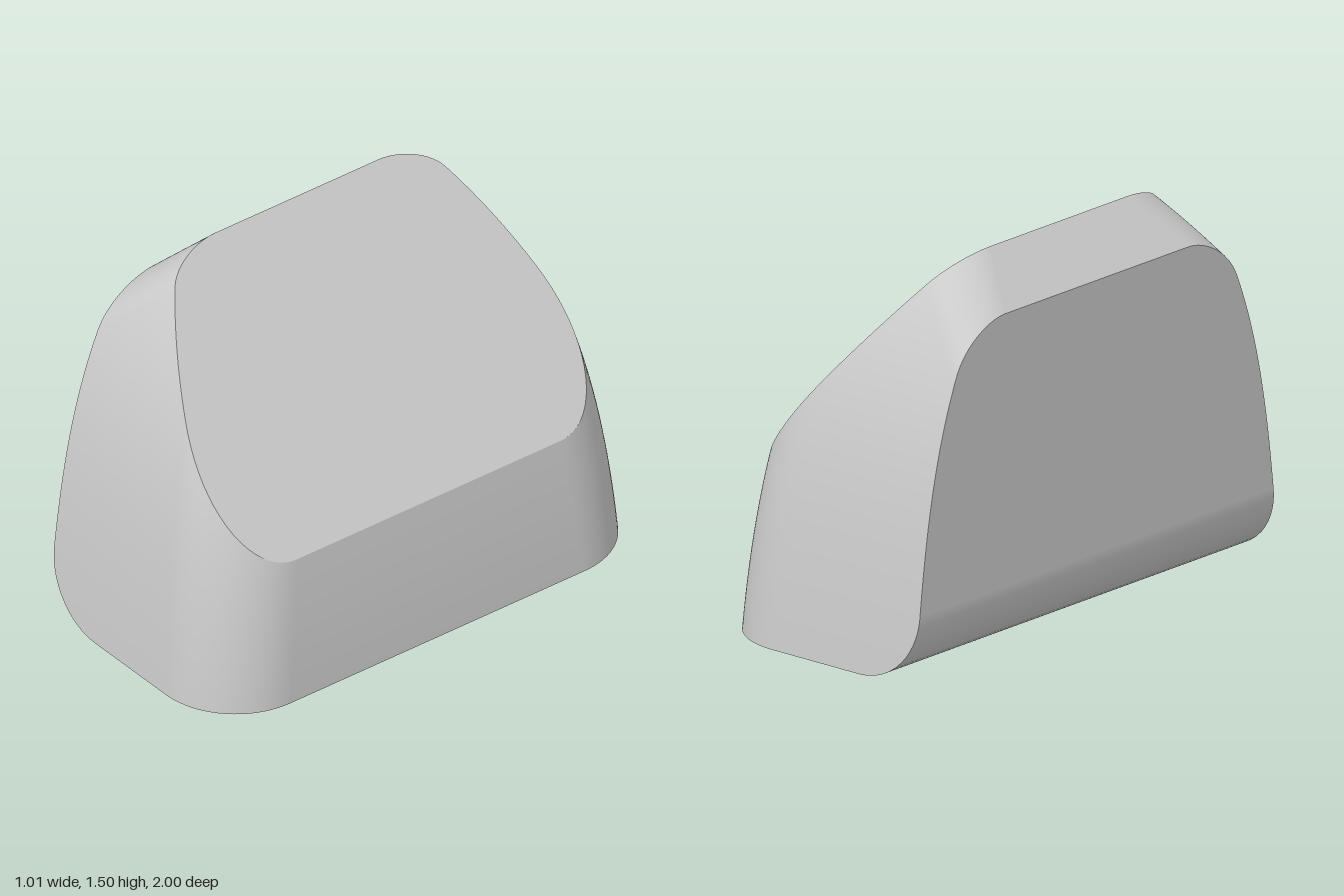
import * as THREE from 'three';

const BACK = -0.505, FRONT = 0.505, TOP = 1.5;
const EDGE_R = 0.27;      // rounding of the lower back edge
const CORNER_R = 0.32;    // rounding of the two upright front corners
const SHOULDER = { width: 0.18, depth: 0.17 }; // rounding beside the chamfer
const SLOPE_Y = 0.58, CHAMFER_Y = 1.315;

// Quarter-ellipse inset: 1 at t = 0, easing to 0 at t = 1
const round = (t) => (t >= 1 ? 0 : 1 - Math.sqrt(Math.max(0, 1 - (1 - t) ** 2)));

// Curved lower wall and the slanted face above it
const wallX = (y) => FRONT - 0.04 * y - 0.078 * y * y;
const wallTopX = wallX(SLOPE_Y);
const rightX = (y) => (y <= SLOPE_Y ? wallX(y)
  : THREE.MathUtils.mapLinear(y, SLOPE_Y, TOP, wallTopX, BACK + TOP - CHAMFER_Y));

// Rounded lower edge, upright back and top chamfer
function leftX(y) {
  if (y < EDGE_R) return BACK + EDGE_R * round(y / EDGE_R);
  return BACK + Math.max(0, y - CHAMFER_Y);
}

// Half thickness of the body along z at a point of its side outline
function halfWidth(x, y) {
  const flank = 1 - 0.08 * y - 0.05 * y ** 2 - 0.042 * y ** 4;
  const belowChamfer = Math.max(0, CHAMFER_Y + x - BACK - y);
  return flank
    - CORNER_R * round(Math.max(0, wallX(y) - x) / CORNER_R)
    - SHOULDER.width * round(belowChamfer / SHOULDER.depth);
}

// Values from a to b, packed closer near both ends
const spread = (a, b, n) => Array.from({ length: n + 1 },
  (_, i) => a + (b - a) * (1 - Math.cos((Math.PI * i) / n)) / 2);

// Smooth skin over rows of points
function skin(name, rows, material) {
  const n = rows[0].length, index = [];
  for (let j = 0; j < rows.length - 1; j++) {
    for (let i = 0; i < n - 1; i++) {
      const a = j * n + i, b = a + 1, c = b + n, d = a + n;
      index.push(a, b, c, a, c, d);
    }
  }
  const geometry = new THREE.BufferGeometry();
  geometry.setAttribute('position', new THREE.Float32BufferAttribute(rows.flat(2), 3));
  geometry.setIndex(index);
  geometry.computeVertexNormals();
  const mesh = new THREE.Mesh(geometry, material);
  mesh.name = name;
  return mesh;
}

export function createModel() {
  const group = new THREE.Group();
  group.name = 'slantedBlock';
  const material = new THREE.MeshStandardMaterial({ color: 0xcccccc });
  const add = (name, rows) => group.add(skin(name, rows, material));

  // Heights, with a row on every crease
  const edge = spread(0, EDGE_R, 16);
  const wall = spread(EDGE_R, SLOPE_Y, 8);
  const slope = [...spread(SLOPE_Y, CHAMFER_Y, 32), ...spread(CHAMFER_Y, TOP, 20).slice(1)];
  const heights = [...edge, ...wall.slice(1), ...slope.slice(1)];

  // Two mirrored flanks
  const flank = (sign) => heights.map((y) => {
    const row = spread(leftX(y), rightX(y), 64).map((x) => [x, y, sign * halfWidth(x, y)]);
    return sign > 0 ? row : row.reverse();
  });
  add('frontFlank', flank(1));
  add('rearFlank', flank(-1));

  // Bands running across the body between the flanks
  const band = (ys, edgeX, sign) => ys.map((y) => {
    const x = edgeX(y), h = sign * halfWidth(x, y);
    return [[x, y, h], [x, y, -h]];
  });
  add('lowerWall', band(heights.filter((y) => y <= SLOPE_Y), rightX, 1));
  add('slantedFace', band(slope, rightX, 1));
  add('backWall', band(heights.filter((y) => y <= CHAMFER_Y), leftX, -1));
  add('topChamfer', band(heights.filter((y) => y >= CHAMFER_Y), leftX, -1));

  // Flat underside
  const baseXs = spread(leftX(0), rightX(0), 64);
  add('underside', [-1, 1].map((s) => baseXs.map((x) => [x, 0, s * halfWidth(x, 0)])));

  return group;
}
